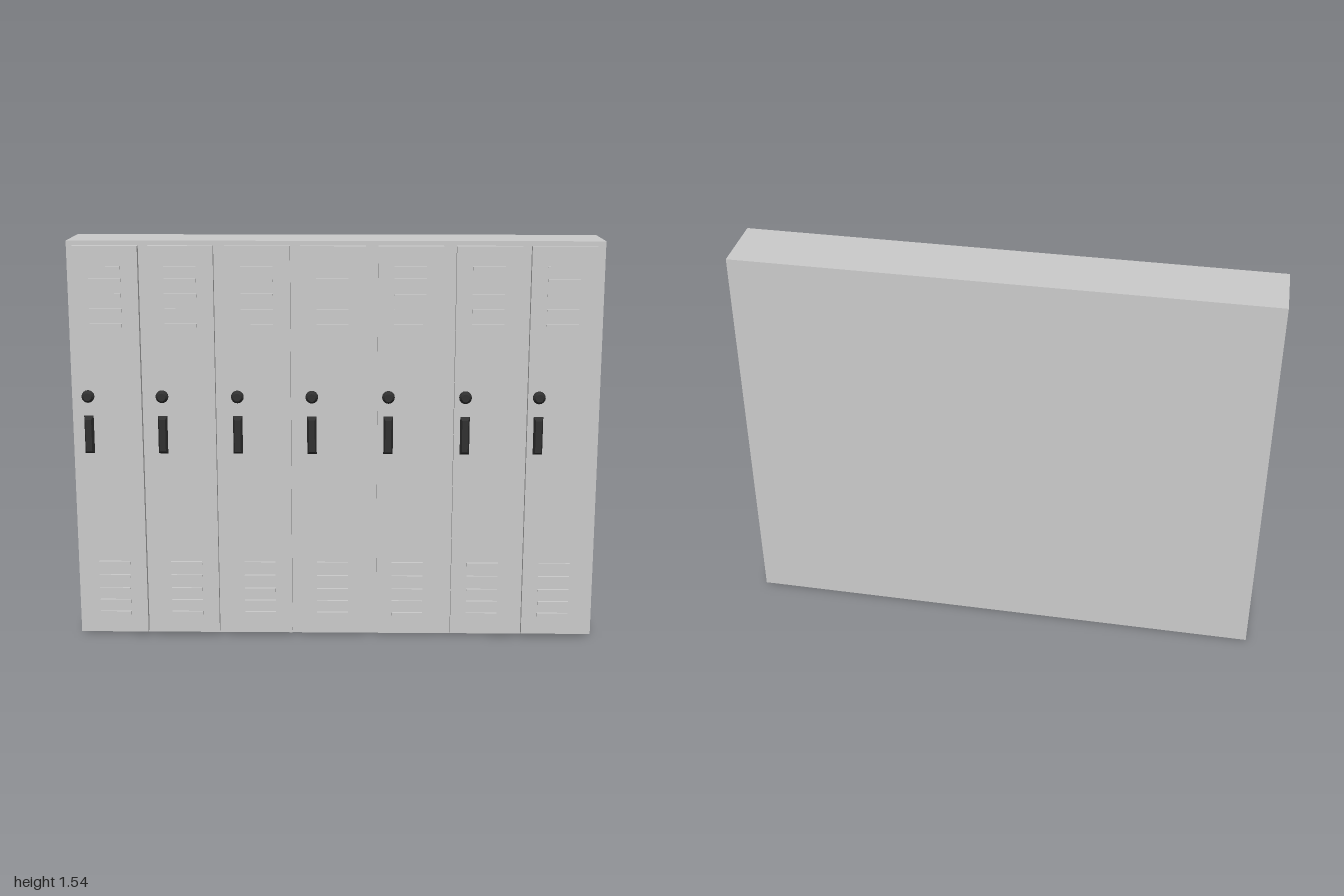
import * as THREE from 'three';

const grey = new THREE.MeshStandardMaterial({ color: 0xcccccc });
const dark = new THREE.MeshStandardMaterial({ color: 0x303030, flatShading: true });

const BACK = -0.145, BODY_FRONT = 0.1, DOOR_FRONT = 0.127;
const HEIGHT = 1.537;
const DOOR_CENTRES = [-0.854, -0.574, -0.289, -0.008, 0.281, 0.571, 0.848];
const LOWER_VENTS = [0.09, 0.138, 0.187, 0.24, 0.294];
const UPPER_VENTS = [1.224, 1.28, 1.337, 1.394, 1.439];

// Box spanning y0..y1 and z0..z1, centred on x
function box(name, x, width, y0, y1, z0, z1, material = grey) {
  const mesh = new THREE.Mesh(new THREE.BoxGeometry(width, y1 - y0, z1 - z0), material);
  mesh.name = name;
  mesh.position.set(x, (y0 + y1) / 2, (z0 + z1) / 2);
  return mesh;
}

// Upright pull whose front face is smaller than its base
function handle(x) {
  const mesh = box('handle', x, 0.036, 0.732, 0.878, DOOR_FRONT, 0.147, dark);
  const p = mesh.geometry.attributes.position;
  for (let i = 0; i < p.count; i++) {
    if (p.getZ(i) > 0) p.setXY(i, p.getX(i) * 0.62, p.getY(i) * 0.84);
  }
  mesh.geometry.computeVertexNormals();
  return mesh;
}

// Round dial tapering towards the front
function dial(x) {
  const geometry = new THREE.CylinderGeometry(0.015, 0.024, 0.013, 16);
  geometry.translate(0, 0.0135, 0);
  const mesh = new THREE.Group();
  const rim = new THREE.CylinderGeometry(0.024, 0.024, 0.007, 16).translate(0, 0.0035, 0);
  mesh.add(new THREE.Mesh(rim, dark), new THREE.Mesh(geometry, dark));
  mesh.children[0].name = 'dialRim';
  mesh.children[1].name = 'dialKnob';
  mesh.name = 'dial';
  mesh.rotation.x = Math.PI / 2;
  mesh.position.set(x, 0.953, DOOR_FRONT);
  return mesh;
}

function locker(x) {
  const group = new THREE.Group();
  group.name = 'lockerDoor';
  group.position.x = x;
  group.add(box('doorPanel', 0, 0.243, 0.01, 1.52, BODY_FRONT, DOOR_FRONT));
  for (const y of [...LOWER_VENTS, ...UPPER_VENTS]) {
    group.add(box('vent', -0.002, 0.12, y - 0.007, y + 0.007, DOOR_FRONT, 0.137));
  }
  group.add(handle(-0.08), dial(-0.08));
  return group;
}

export function createModel() {
  const model = new THREE.Group();
  model.name = 'lockerRow';
  // Cabinet body behind all doors
  model.add(box('cabinet', 0, 2, 0, HEIGHT, BACK, BODY_FRONT));
  for (const x of DOOR_CENTRES) model.add(locker(x));
  return model;
}
